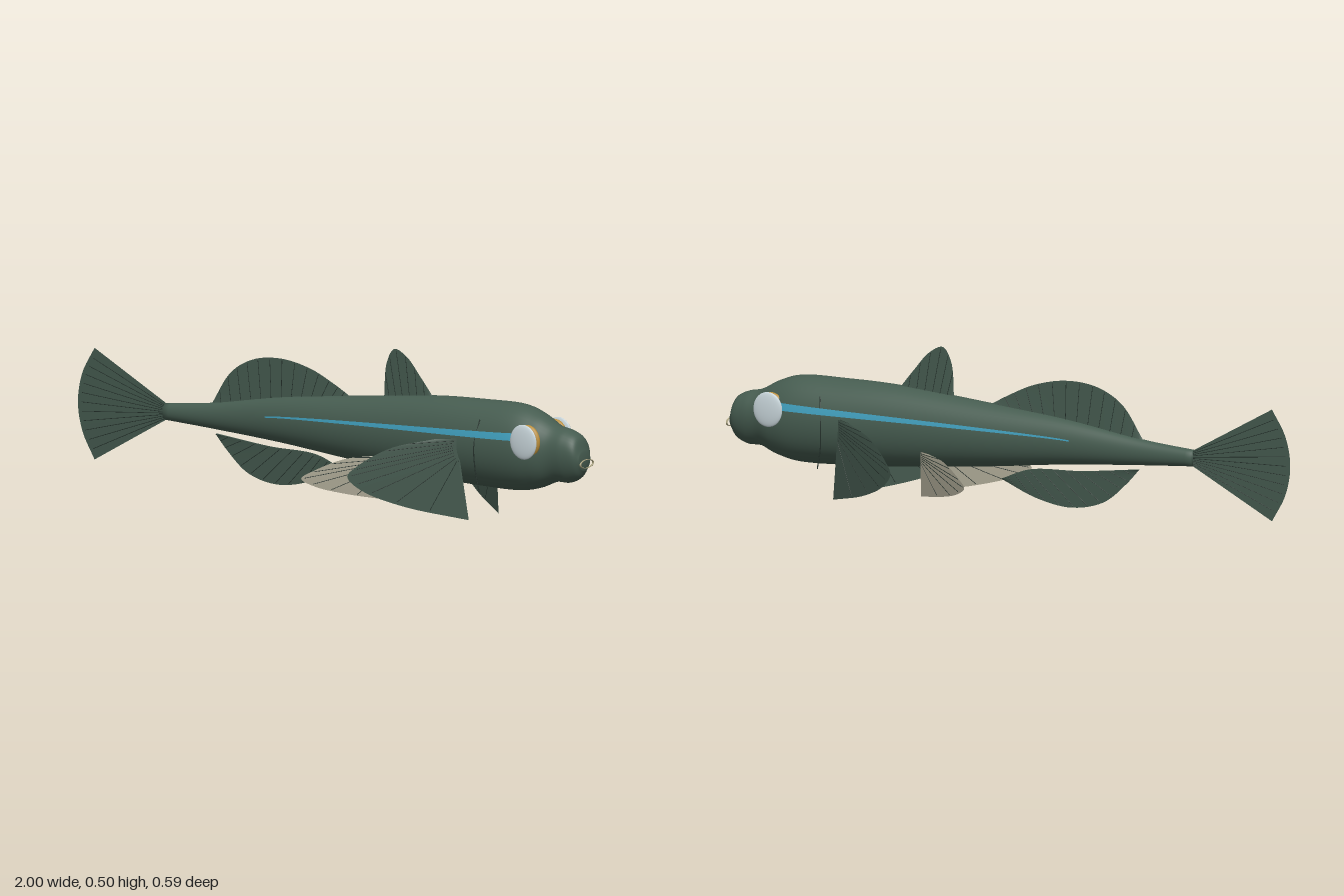
import * as THREE from 'three';

const mat = (name, color, side = THREE.FrontSide) => {
  const m = new THREE.MeshStandardMaterial({ color, side });
  m.name = name;
  return m;
};

// Body stations, tail to snout: x, top y, bottom y, half width
const STATIONS = [
  [-0.655, 0.245, 0.192, 0.02], [-0.47, 0.265, 0.182, 0.028], [-0.2, 0.31, 0.164, 0.048],
  [0.07, 0.34, 0.138, 0.07], [0.39, 0.373, 0.113, 0.09], [0.6, 0.381, 0.104, 0.1],
  [0.74, 0.381, 0.104, 0.099], [0.82, 0.358, 0.12, 0.086], [0.88, 0.327, 0.144, 0.065],
  [0.93, 0.316, 0.146, 0.058], [0.968, 0.296, 0.163, 0.048], [0.986, 0.25, 0.19, 0.03],
];

function bodySections(n) {
  const curve = (f) => new THREE.CatmullRomCurve3(STATIONS.map(f), false, 'catmullrom', 0.5);
  const heights = curve((s) => new THREE.Vector3(s[0], s[1], s[2]));
  const widths = curve((s) => new THREE.Vector3(s[0], s[3], 0));
  return Array.from({ length: n + 1 }, (_, i) => {
    const h = heights.getPoint(i / n);
    return { x: h.x, cy: (h.y + h.z) / 2, ry: (h.y - h.z) / 2, rz: widths.getPoint(i / n).y };
  });
}

function meshFrom(name, pos, idx, material) {
  const g = new THREE.BufferGeometry();
  g.setAttribute('position', new THREE.Float32BufferAttribute(pos, 3));
  g.setIndex(idx);
  g.computeVertexNormals();
  const m = new THREE.Mesh(g, material);
  m.name = name;
  return m;
}

// Closed skin lofted through elliptical rings
function makeBody(sections, material) {
  const N = 40, pos = [], idx = [];
  for (const s of sections) {
    for (let j = 0; j < N; j++) {
      const a = (j / N) * Math.PI * 2;
      const egg = s.x > 0.85 ? 1 + Math.min(1, (s.x - 0.85) * 15) * 0.15 * Math.cos(a) : 1;
      pos.push(s.x, s.cy + s.ry * Math.cos(a), s.rz * egg * Math.sin(a));
    }
  }
  const last = sections.length - 1, tail = pos.length / 3, nose = tail + 1;
  pos.push(sections[0].x, sections[0].cy, 0, sections[last].x + 0.004, sections[last].cy, 0);
  for (let j = 0; j < N; j++) {
    const k = (j + 1) % N;
    for (let i = 0; i < last; i++) {
      const a = i * N + j, b = i * N + k;
      idx.push(a, b, a + N, b, b + N, a + N);
    }
    idx.push(tail, k, j, nose, last * N + j, last * N + k);
  }
  return meshFrom('body', pos, idx, material);
}

// Flank stripe hugging the skin
function makeStripe(sections, side, material) {
  const pos = [], idx = [], rows = 3;
  const part = sections.filter((s) => s.x > -0.24 && s.x < 0.79);
  part.forEach((s, i) => {
    const f = (s.x + 0.24) / 1.03;
    const mid = 0.247 + 0.042 * Math.pow(f, 0.7), half = 0.002 + 0.01 * f;
    for (let r = 0; r < rows; r++) {
      const y = mid + half * (r - 1), d = (y - s.cy) / s.ry;
      pos.push(s.x, y, side * (s.rz * Math.sqrt(1 - d * d) + 0.002));
      if (i && r) {
        const a = i * rows + r;
        idx.push(a, a - 1, a - rows, a - 1, a - rows - 1, a - rows);
      }
    }
  });
  return meshFrom('flankStripe', pos, idx, material);
}

// Fin between a base line and a rim, thinning to the rim, with slender rays
function makeFin(name, base, rim, plane, rays, material, rayMaterial, thick = 0.005) {
  const group = new THREE.Group();
  group.name = name;
  const line = (pts) => new THREE.CatmullRomCurve3(pts.map(([x, y]) => new THREE.Vector3(x, y, 0)));
  const b = line(base), r = line(rim), U = 32, V = 6;
  const at = (u, v) => {
    const p = b.getPoint(u).lerp(r.getPoint(u), v);
    p.z = plane(p.x);
    return p;
  };
  const pos = [], idx = [];
  for (const s of [1, -1]) {
    const start = pos.length / 3;
    for (let i = 0; i <= U; i++) {
      for (let j = 0; j <= V; j++) {
        const p = at(i / U, j / V);
        pos.push(p.x, p.y, p.z + s * thick * (1 - j / V));
        if (i && j) {
          const c = start + i * (V + 1) + j, d = c - V - 1;
          if (s > 0) idx.push(d - 1, c - 1, c, d - 1, c, d);
          else idx.push(d - 1, c, c - 1, d - 1, d, c);
        }
      }
    }
  }
  group.add(meshFrom(name + 'Web', pos, idx, material));
  for (let k = 1; k <= rays; k++) {
    const u = k / (rays + 1);
    for (const s of [1, -1]) {
      const a = at(u, 0.03), c = at(u, 0.96);
      a.z += s * thick * 0.97;
      c.z += s * thick * 0.04;
      const ray = new THREE.Mesh(new THREE.TubeGeometry(new THREE.LineCurve3(a, c), 1, 0.0011, 5), rayMaterial);
      ray.name = 'finRay';
      group.add(ray);
    }
  }
  return group;
}

export function createModel() {
  const model = new THREE.Group();
  model.name = 'fish';
  const skin = mat('skin green', 0x465c50);
  const finMat = mat('fin green', 0x43584d, THREE.DoubleSide);
  const pale = mat('pale fin', 0xa9a592, THREE.DoubleSide);
  const dark = mat('dark ray', 0x26332d);
  const blue = mat('stripe blue', 0x3f9dbb, THREE.DoubleSide);
  const gold = mat('eye gold', 0xb88d3a);
  const white = mat('eye white', 0xc6d3d8);
  const lip = mat('lip beige', 0xaaa380);

  const sections = bodySections(88);
  model.add(makeBody(sections, skin));

  // Midline fins
  const flat = () => 0;
  model.add(makeFin('firstDorsalFin',
    [[0.2, 0.34], [0.29, 0.35], [0.39, 0.365]],
    [[0.2, 0.345], [0.21, 0.46], [0.24, 0.507], [0.29, 0.485], [0.34, 0.43], [0.39, 0.37]],
    flat, 6, finMat, dark));
  model.add(makeFin('secondDorsalFin',
    [[-0.475, 0.258], [-0.2, 0.3], [0.07, 0.332]],
    [[-0.475, 0.262], [-0.4, 0.37], [-0.31, 0.42], [-0.2, 0.432], [-0.085, 0.41], [0.01, 0.368], [0.07, 0.336]],
    flat, 13, finMat, dark));
  model.add(makeFin('analFin',
    [[-0.46, 0.167], [-0.25, 0.146], [-0.07, 0.138], [0.03, 0.102]],
    [[-0.46, 0.165], [-0.415, 0.117], [-0.335, 0.053], [-0.22, 0.027], [-0.095, 0.048], [0.03, 0.1]],
    flat, 11, finMat, dark));
  model.add(makeFin('tailFin',
    [[-0.645, 0.238], [-0.645, 0.218], [-0.645, 0.198]],
    [[-0.935, 0.395], [-0.983, 0.31], [-1, 0.217], [-0.983, 0.125], [-0.935, 0.037]],
    flat, 11, finMat, dark, 0.004));

  for (const side of [1, -1]) {
    const half = new THREE.Group();
    half.name = side > 0 ? 'frontSide' : 'backSide';

    // Paired fins sweep outwards and back
    half.add(makeFin('pectoralFin',
      [[0.56, 0.265], [0.56, 0.23], [0.565, 0.19]],
      [[0.5, 0.262], [0.385, 0.232], [0.3, 0.175], [0.272, 0.14], [0.31, 0.095], [0.42, 0.045], [0.59, 0.003]],
      (x) => side * (0.1 + (0.56 - x) * 0.68), 9, finMat, dark));
    half.add(makeFin('pelvicFin',
      [[0.28, 0.178], [0.28, 0.16], [0.28, 0.14]],
      [[0.24, 0.178], [0.16, 0.167], [0.08, 0.13], [0.043, 0.102], [0.08, 0.077], [0.16, 0.055], [0.278, 0.036]],
      (x) => side * (0.08 + (0.27 - x) * 0.66), 7, pale, dark, 0.004));

    half.add(makeStripe(sections, side, blue));

    // Eyes: gold surround under a pale lens
    const eye = (name, z, r, depth, m) => {
      const e = new THREE.Mesh(new THREE.SphereGeometry(1, 32, 20), m);
      e.name = name;
      e.scale.set(r * 0.92, r, depth);
      e.position.set(0.815, 0.277, side * z);
      half.add(e);
    };
    eye('eyeSurround', 0.073, 0.053, 0.017, gold);
    eye('eyeLens', 0.095, 0.056, 0.01, white);

    // Gill line
    const gill = new THREE.CatmullRomCurve3([[0.635, 0.33, 0.082], [0.625, 0.25, 0.1], [0.627, 0.17, 0.096], [0.64, 0.1, 0.092]]
      .map(([x, y, z]) => new THREE.Vector3(x, y, side * z)));
    const slit = new THREE.Mesh(new THREE.TubeGeometry(gill, 20, 0.002, 6), dark);
    slit.name = 'gillLine';
    half.add(slit);
    model.add(half);
  }

  // Mouth ring
  const mouth = new THREE.Mesh(new THREE.TorusGeometry(0.034, 0.003, 8, 40), lip);
  mouth.name = 'mouth';
  mouth.rotation.y = Math.PI / 2;
  mouth.scale.set(1, 0.4, 1);
  mouth.position.set(0.994, 0.213, 0);
  model.add(mouth);

  return model;
}
